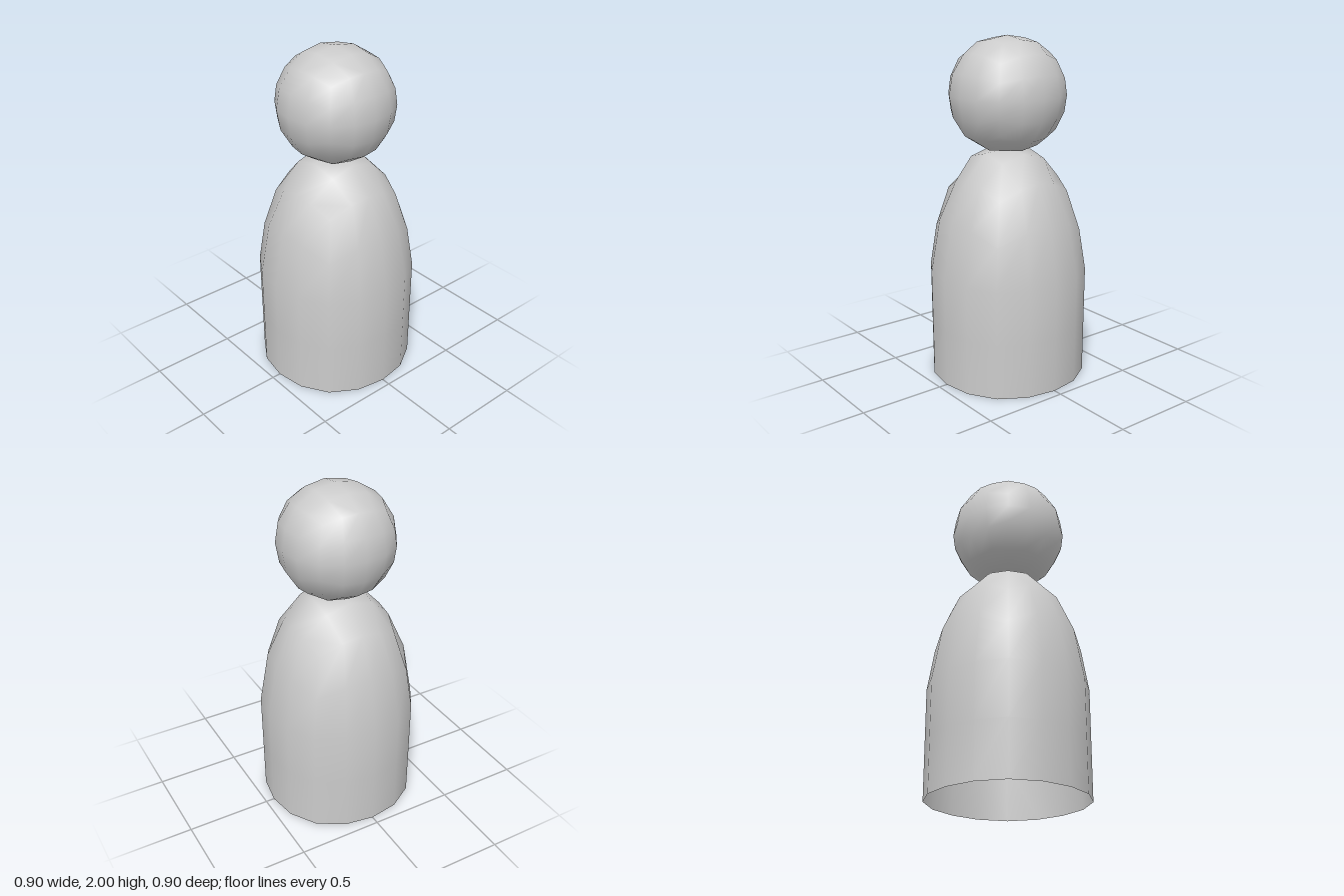
import * as THREE from 'three';
import { mergeVertices } from 'three/addons/utils/BufferGeometryUtils.js';

const material = new THREE.MeshStandardMaterial({ color: 0xcccccc, side: THREE.DoubleSide });

// A 4x4x4 box whose welded vertices are moved by a rule; the bottom face can be left out.
// The rule gets the vertex direction (evenly spaced by angle) and its height row, -1 to 1.
function shapedBox(rule, openBottom) {
  const box = new THREE.BoxGeometry(2, 2, 2, 4, 4, 4);
  if (openBottom) {
    const { start, count } = box.groups[3];
    box.setIndex([...box.index.array].filter((_, i) => i < start || i >= start + count));
  }
  box.clearGroups();
  box.deleteAttribute('uv');
  box.deleteAttribute('normal');
  const geometry = mergeVertices(box);
  const pos = geometry.attributes.position;
  const d = new THREE.Vector3();
  for (let i = 0; i < pos.count; i++) {
    d.fromBufferAttribute(pos, i);
    const row = d.y;
    d.set(...d.toArray().map((c) => Math.tan(c * Math.PI / 4))).normalize();
    pos.setXYZ(i, ...rule(d, row));
  }
  geometry.computeVertexNormals();
  return geometry;
}

// Head: a subdivided cube rounded to a ball, very slightly fuller towards edges and corners
function headRule(d) {
  const s = 1 - d.x ** 4 - d.y ** 4 - d.z ** 4;
  const r = 0.33 * (1 + 0.074 * s - 0.04 * s * s);
  return [d.x * r, d.y * r, d.z * r];
}

// Shoulder profile (radius, height) from the crown down to the straight sides
const shoulder = new THREE.SplineCurve([
  [0, 1.36], [0.155, 1.345], [0.29, 1.2], [0.393, 0.98], [0.452, 0.645],
].map(([r, y]) => new THREE.Vector2(r, y)));

// Body: domed shoulders above an almost straight open tube
function bodyRule(d, row) {
  const turn = Math.atan2(d.z, d.x);
  const fuller = 1 + 0.027 * Math.sin(2 * turn) ** 2;
  let r, y;
  if (row >= 0) {
    const p = shoulder.getPoint(Math.min(1, Math.acos(Math.min(1, d.y)) / (Math.PI / 2)));
    r = p.x;
    y = p.y;
  } else {
    r = 0.452 + 0.004 * row;
    y = 0.645 * (1 + row);
  }
  return [r * fuller * Math.cos(turn), y, r * fuller * Math.sin(turn)];
}

export function createModel() {
  const group = new THREE.Group();
  group.name = 'pawnFigure';

  const body = new THREE.Mesh(shapedBox(bodyRule, true), material);
  body.name = 'body';

  const head = new THREE.Mesh(shapedBox(headRule, false), material);
  head.name = 'head';
  head.position.y = 1.67;

  group.add(body, head);
  return group;
}
